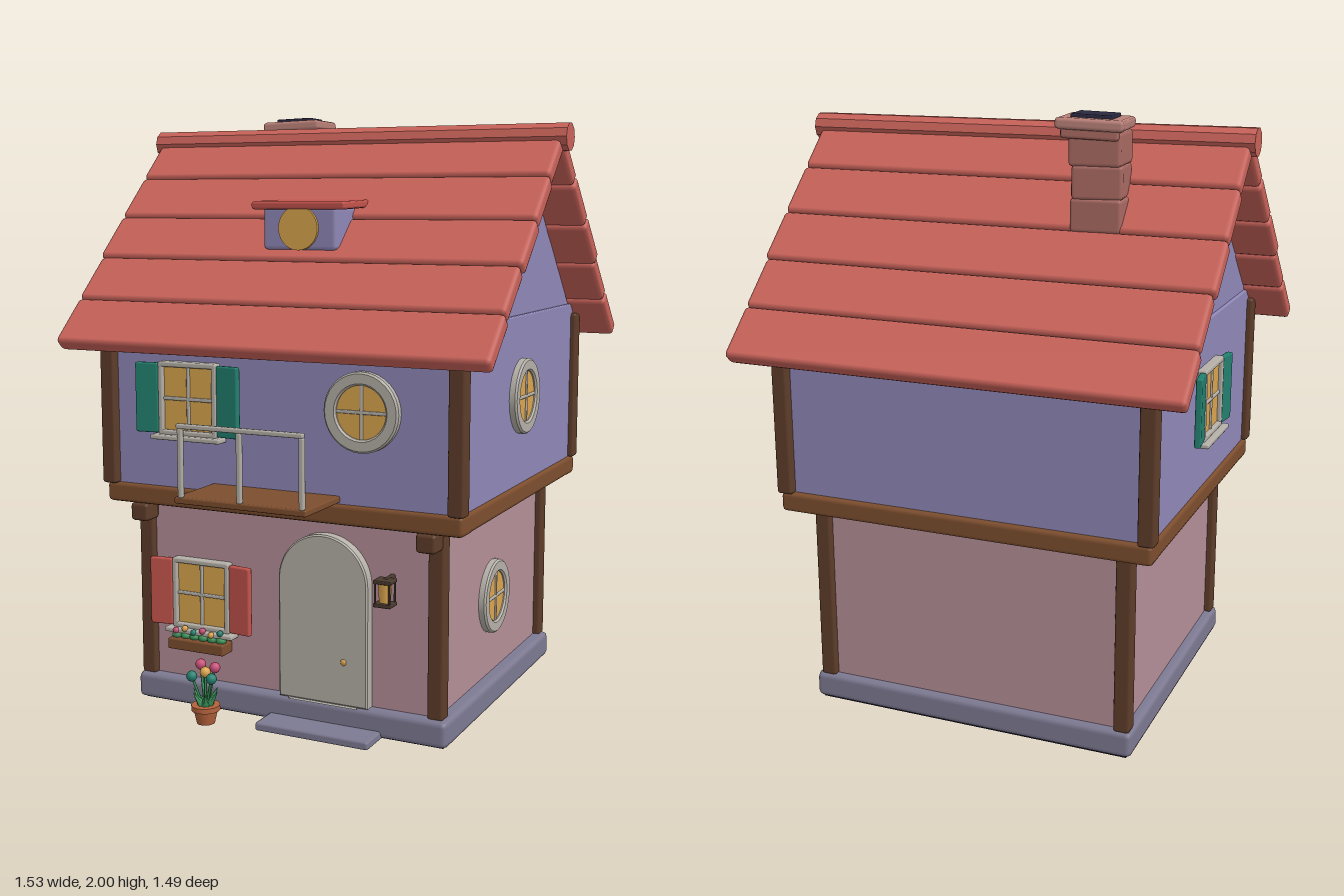
import * as THREE from 'three';
import { RoundedBoxGeometry } from 'three/addons/geometries/RoundedBoxGeometry.js';
import { toCreasedNormals } from 'three/addons/utils/BufferGeometryUtils.js';

const C = {
  roof: 0xc9635a, lilac: 0x9088b8, pink: 0xb58f98, wood: 0x5e3d2a, beam: 0x7d4e2e, stone: 0x7d7a92,
  frame: 0xb5b0a8, glass: 0xdba54e, teal: 0x22806f, red: 0xc4544c, brick: 0xa96a62, cap: 0xb98078,
  dark: 0x2a2840, clay: 0xb5623c, leaf: 0x3a9058, rose: 0xc84f78, iron: 0x4a3a30,
};
const mats = {};
const mat = (c) => (mats[c] ??= new THREE.MeshStandardMaterial({ color: C[c] }));
const ZC = -0.05; // centre of the house in z

function add(parent, name, geo, color, x = 0, y = 0, z = 0) {
  const m = new THREE.Mesh(geo, mat(color));
  m.name = name;
  m.position.set(x, y, z);
  parent.add(m);
  return m;
}
function box(parent, name, color, w, h, d, x, y, z, r = 0.006) {
  return add(parent, name, new RoundedBoxGeometry(w, h, d, 1, Math.min(r, w / 3, h / 3, d / 3)), color, x, y, z);
}
const ball = (parent, name, color, r, x, y, z) => add(parent, name, new THREE.SphereGeometry(r, 12, 8), color, x, y, z);
function disc(parent, name, color, r, depth, x, y, z) {
  const m = add(parent, name, new THREE.CylinderGeometry(r, r, depth, 32), color, x, y, z);
  m.rotation.x = Math.PI / 2;
  return m;
}
function group(parent, name, x, y, z, ry = 0) {
  const g = new THREE.Group();
  g.name = name;
  g.position.set(x, y, z);
  g.rotation.y = ry;
  parent.add(g);
  return g;
}

// Rectangular window with shutters and sill, facing +z
function squareWindow(parent, name, color, x, y, z, ry) {
  const g = group(parent, name, x, y, z, ry);
  box(g, 'pane', 'glass', 0.2, 0.225, 0.02, 0, 0, 0);
  for (const s of [-1, 1]) {
    box(g, 'frameSide', 'frame', 0.018, 0.24, 0.04, s * 0.1, 0, 0.004);
    box(g, 'frameRail', 'frame', 0.215, 0.018, 0.04, 0, s * 0.112, 0.004);
    const sh = box(g, 'shutter', color, 0.082, 0.23, 0.022, s * 0.151, 0, 0.017);
    sh.rotation.y = -s * 0.12;
  }
  box(g, 'mullion', 'frame', 0.012, 0.22, 0.028, 0, 0, 0.002);
  box(g, 'crossbar', 'frame', 0.2, 0.012, 0.028, 0, 0, 0.002);
  box(g, 'sill', 'frame', 0.26, 0.016, 0.05, 0, -0.126, 0.018);
}

// Round window with a thick stone ring, facing +z
function roundWindow(parent, name, x, y, z, ry) {
  const g = group(parent, name, x, y, z, ry);
  const pts = [[0.084, -0.02], [0.126, -0.02], [0.126, 0.014], [0.12, 0.02], [0.09, 0.02], [0.084, 0.014], [0.084, -0.02]];
  const ring = toCreasedNormals(new THREE.LatheGeometry(pts.map((p) => new THREE.Vector2(...p)), 32), 0.6);
  add(g, 'ring', ring, 'frame').rotation.x = Math.PI / 2;
  disc(g, 'pane', 'glass', 0.086, 0.02, 0, 0, 0);
  box(g, 'mullion', 'frame', 0.011, 0.17, 0.026, 0, 0, 0.002);
  box(g, 'crossbar', 'frame', 0.17, 0.011, 0.026, 0, 0, 0.002);
}

// Arched outline: half width r, from the floor to the spring line
function arch(shape, r, spring) {
  shape.moveTo(-r, 0);
  shape.lineTo(r, 0);
  shape.lineTo(r, spring);
  shape.absarc(0, spring, r, 0, Math.PI, false);
  shape.closePath();
  return shape;
}
const extrude = (shape, depth, bevel = 0.005) => new THREE.ExtrudeGeometry(shape,
  { depth, bevelEnabled: bevel > 0, bevelSize: bevel, bevelThickness: bevel, bevelOffset: -bevel, bevelSegments: 1, curveSegments: 16 });

function flower(parent, color, x0, y0, z0, x1, y1, z1, r) {
  const curve = new THREE.LineCurve3(new THREE.Vector3(x0, y0, z0), new THREE.Vector3(x1, y1, z1));
  add(parent, 'stem', new THREE.TubeGeometry(curve, 1, r * 0.25, 6), 'leaf');
  ball(parent, 'bloom', color, r, x1, y1, z1);
}

function buildBody(house) {
  box(house, 'base', 'stone', 1.135, 0.09, 1.05, 0.005, 0.055, ZC + 0.005, 0.02);
  box(house, 'baseUnderside', 'dark', 1.1, 0.01, 1.01, 0.005, 0.01, ZC);
  box(house, 'lowerWalls', 'pink', 1.06, 0.62, 0.985, 0, 0.4, ZC);
  box(house, 'upperWalls', 'lilac', 1.25, 0.57, 1.13, 0, 1.045, ZC);
  box(house, 'floorSlab', 'wood', 1.22, 0.05, 1.1, 0, 0.735, ZC);
  for (const s of [-1, 1]) {
    box(house, 'floorBeam', 'beam', 1.275, 0.068, 0.09, 0, 0.735, ZC - 0.003 + s * 0.535, 0.015);
    box(house, 'floorBeamSide', 'beam', 0.09, 0.066, 1.15, s * 0.592, 0.735, ZC, 0.015);
    for (const t of [-1, 1]) {
      box(house, 'lowerPost', 'wood', 0.055, 0.61, 0.055, s * 0.527, 0.4, ZC + t * 0.487, 0.01);
      box(house, 'upperPost', 'wood', 0.055, 0.53, 0.055, s * 0.618, 1.03, ZC + t * 0.566, 0.01);
    }
    box(house, 'bracket', 'wood', 0.068, 0.062, 0.075, s * 0.515, 0.672, 0.487, 0.012);
  }
  // Gable prism under the roof
  const tri = new THREE.Shape([new THREE.Vector2(-0.535, 0), new THREE.Vector2(0.535, 0), new THREE.Vector2(0, 0.545)]);
  add(house, 'gable', extrude(tri, 1.23, 0), 'lilac', -0.615, 1.325, ZC).rotation.y = Math.PI / 2;
}

function buildRoof(house) {
  const roof = group(house, 'roof', 0, 0, -0.055);
  for (const s of [-1, 1]) {
    for (let i = 0; i < 5; i++) {
      const d = 0.134 * (i + 0.5);
      const row = box(roof, 'tileRow', 'roof', 1.5 + 0.006 * (i % 3), 0.053, 0.19, -0.002, 1.897 - d, s * d, 0.014);
      row.rotation.x = s * (Math.PI / 4 - 0.03);
    }
  }
  add(roof, 'ridgeCap', toCreasedNormals(new THREE.CylinderGeometry(0.046, 0.046, 1.535, 10), 0.3), 'roof', 0, 1.902, 0)
    .rotation.z = Math.PI / 2;

  // Dormer with a round light
  const dormer = group(house, 'dormer', 0, 0, 0);
  box(dormer, 'dormerBody', 'lilac', 0.265, 0.14, 0.24, 0, 1.612, 0.228, 0.015);
  const lid = box(dormer, 'dormerRoof', 'red', 0.335, 0.026, 0.19, 0, 1.688, 0.268, 0.01);
  lid.rotation.x = 0.03;
  disc(dormer, 'dormerWindow', 'glass', 0.07, 0.03, 0, 1.613, 0.343);

  // Leaning chimney of stacked blocks
  const chimney = group(house, 'chimney', -0.325, 0, -0.262);
  [[0.165, 1.69, 0.05, 0], [0.16, 1.79, 0.14, 0.004], [0.165, 1.89, 0.09, 0.008]].forEach(([w, y, ry, dx]) => {
    box(chimney, 'chimneyBlock', 'brick', w, 0.105, w, dx - 0.012, y, 0, 0.012).rotation.y = ry;
  });
  const cap = group(chimney, 'chimneyCap', 0.01, 1.965, -0.01, 0.13);
  cap.rotation.z = 0.04;
  box(cap, 'capSlab', 'cap', 0.212, 0.035, 0.208, 0, 0, 0, 0.012);
  box(cap, 'capNeck', 'brick', 0.18, 0.04, 0.18, 0, -0.025, 0, 0.01);
  box(cap, 'flue', 'dark', 0.13, 0.03, 0.13, 0, 0.013, 0, 0.004);
}

function buildDoor(house) {
  const door = group(house, 'door', 0.145, 0.1, 0.43);
  const surround = arch(new THREE.Shape(), 0.158, 0.395);
  surround.holes.push(arch(new THREE.Path(), 0.118, 0.385));
  add(door, 'doorSurround', extrude(surround, 0.045), 'frame');
  add(door, 'doorLeaf', extrude(arch(new THREE.Shape(), 0.124, 0.385), 0.022), 'teal');
  for (const s of [-1, 1]) box(door, 'doorPanel', 'teal', 0.095, 0.145, 0.02, s * 0.06, 0.062, 0.03, 0.008);
  disc(door, 'peepWindow', 'glass', 0.024, 0.03, 0, 0.28, 0.025);
  ball(door, 'knob', 'glass', 0.015, 0.075, 0.145, 0.04);
  box(house, 'doorStep', 'stone', 0.4, 0.028, 0.14, 0.15, 0.022, 0.51, 0.008);
}

function buildBalcony(house) {
  const b = group(house, 'balcony', -0.005, 0, 0);
  box(b, 'deck', 'beam', 0.46, 0.022, 0.25, 0, 0.782, 0.62);
  for (const x of [-0.208, 0, 0.213]) box(b, 'railPost', 'frame', 0.018, 0.22, 0.018, x, 0.9, 0.737);
  box(b, 'handRail', 'frame', 0.44, 0.016, 0.02, 0, 1.015, 0.737);
}

function buildDetails(house) {
  // Wall lantern beside the door
  const lamp = group(house, 'lantern', 0.375, 0.5, 0.505);
  add(lamp, 'lampGlass', new THREE.CylinderGeometry(0.024, 0.019, 0.06, 8), 'glass');
  for (const s of [-1, 1]) box(lamp, 'lampPlate', 'iron', 0.06, 0.012, 0.055, 0, s * 0.037, 0, 0.003);
  for (const x of [-1, 1]) for (const z of [-1, 1])
    box(lamp, 'lampBar', 'iron', 0.006, 0.07, 0.006, x * 0.024, 0, z * 0.022, 0.001);
  box(lamp, 'lampBracket', 'iron', 0.015, 0.015, 0.07, 0, 0.037, -0.035, 0.003);

  // Window box with small blooms
  const planter = group(house, 'windowBox', -0.315, 0.228, 0.475);
  box(planter, 'trough', 'beam', 0.215, 0.038, 0.065, 0, 0, 0);
  ['rose', 'glass', 'teal', 'rose', 'glass', 'teal'].forEach((c, i) => {
    const x = -0.085 + i * 0.034, y = 0.042 + (i % 2) * 0.01;
    const leaf = ball(planter, 'leaves', 'leaf', 0.018, x, 0.026, 0.004);
    leaf.scale.y = 0.8;
    flower(planter, c, x, 0.02, 0.01, x, y, 0.012, 0.011);
  });

  // Potted flowers on the ground
  const pot = group(house, 'flowerPot', -0.24, 0, 0.567);
  const prof = [[0, 0], [0.03, 0], [0.04, 0.045], [0.048, 0.045], [0.048, 0.062], [0, 0.062]];
  add(pot, 'pot', toCreasedNormals(new THREE.LatheGeometry(prof.map((p) => new THREE.Vector2(...p)), 16), 0.6), 'clay');
  for (let i = 0; i < 6; i++) {
    const a = (i * Math.PI) / 3;
    const leaf = add(pot, 'leaf', new THREE.ConeGeometry(0.018, 0.065, 5), 'leaf', Math.cos(a) * 0.028, 0.085, Math.sin(a) * 0.028);
    leaf.rotation.set(Math.sin(a) * 0.6, 0, -Math.cos(a) * 0.6);
  }
  [['rose', -0.035, 0.185, -0.03], ['teal', -0.03, 0.165, 0.035], ['glass', 0, 0.172, 0.0], ['rose', 0.03, 0.188, -0.012],
    ['teal', 0.035, 0.16, 0.02]].forEach(([c, x, y, z]) => flower(pot, c, x * 0.2, 0.06, z * 0.2, x, y, z, 0.018));
}

export function createModel() {
  const house = new THREE.Group();
  house.name = 'house';
  buildBody(house);
  buildRoof(house);
  buildDoor(house);
  buildBalcony(house);
  buildDetails(house);
  squareWindow(house, 'upperWindow', 'teal', -0.31, 1.065, 0.52, 0);
  squareWindow(house, 'lowerWindow', 'red', -0.315, 0.395, 0.447, 0);
  squareWindow(house, 'sideWindow', 'teal', -0.63, 1.065, -0.03, -Math.PI / 2);
  roundWindow(house, 'upperRoundWindow', 0.305, 1.062, 0.52, 0);
  roundWindow(house, 'sideRoundWindowUpper', 0.63, 1.062, -0.04, Math.PI / 2);
  roundWindow(house, 'sideRoundWindowLower', 0.535, 0.37, -0.04, Math.PI / 2);
  return house;
}
